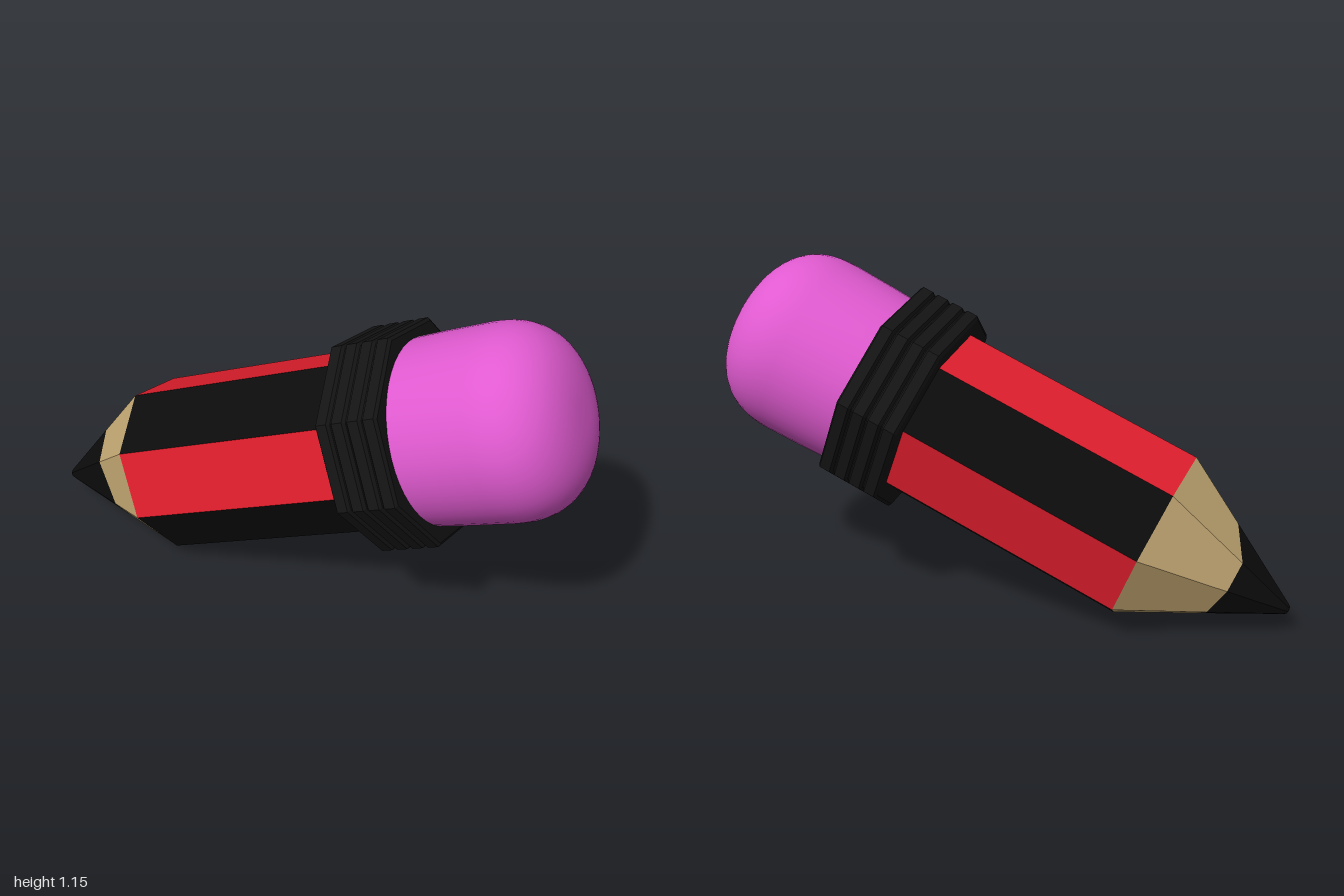
import * as THREE from 'three';

const SIDES = 8;
const R = 0.312;

// One octagon ring around the local y axis; r and t may vary per corner
const ring = (r, t) => Array.from({ length: SIDES }, (_, i) => {
  const a = (i / SIDES) * Math.PI * 2;
  const ri = Array.isArray(r) ? r[i] : r;
  return new THREE.Vector3(ri * Math.sin(a), Array.isArray(t) ? t[i] : t, ri * Math.cos(a));
});

// Flat-faced skin over rings listed from low to high, on the chosen sides
function loft(name, color, rings, useSide = () => true) {
  const points = [];
  for (let k = 0; k < rings.length - 1; k++) {
    for (let i = 0; i < SIDES; i++) {
      if (!useSide(i)) continue;
      const j = (i + 1) % SIDES;
      const [a, b, c, d] = [rings[k][i], rings[k][j], rings[k + 1][j], rings[k + 1][i]];
      points.push(a, b, c, a, c, d);
    }
  }
  const geometry = new THREE.BufferGeometry().setFromPoints(points);
  geometry.computeVertexNormals();
  const mesh = new THREE.Mesh(geometry, new THREE.MeshStandardMaterial({ color, flatShading: true }));
  mesh.name = name;
  return mesh;
}

export function createModel() {
  const group = new THREE.Group();
  group.name = 'pencil';

  // Octagonal body with alternating stripes
  const body = [ring(R, 0), ring(R, 0.9)];
  group.add(loft('redStripes', 0xe01e2d, body, (i) => i % 2 === 1));
  group.add(loft('blackStripes', 0x0b0b0b, body, (i) => i % 2 === 0));

  // Sharpened wood and lead meet along an uneven cut
  const cut = [0.45, 0.4, 0.32, 0.43, 0.48, 0.55, 0.6, 0.6];
  const cutRing = ring(cut.map((f) => THREE.MathUtils.lerp(R, 0.022, f)), cut.map((f) => -0.495 * f));
  group.add(loft('sharpenedWood', 0xc4a873, [cutRing, ring(R, 0)]));
  group.add(loft('leadTip', 0x0b0b0b, [ring(0.0005, -0.507), ring(0.014, -0.505), ring(0.024, -0.49), cutRing]));

  // Ferrule: four raised bands with narrow grooves, closed at both ends
  const bands = 4, start = 0.868, step = 0.058;
  const ferrule = [ring(0.29, start)];
  for (let b = 0; b < bands; b++) {
    const t = start + b * step;
    ferrule.push(ring(0.37, t), ring(0.382, t + 0.008), ring(0.382, t + step - 0.012), ring(0.37, t + step - 0.004));
  }
  ferrule.push(ring(0.28, start + bands * step - 0.004));
  group.add(loft('ferrule', 0x141414, ferrule));

  // Eraser: smooth cylinder with a flattened dome
  const profile = [new THREE.Vector2(0.314, 1.08), new THREE.Vector2(0.32, 1.2)];
  for (let i = 0; i <= 20; i++) {
    const a = (i / 20) * Math.PI / 2;
    profile.push(new THREE.Vector2(
      0.325 * Math.pow(Math.max(Math.cos(a), 0), 0.8),
      1.36 + 0.262 * Math.pow(Math.sin(a), 0.8)));
  }
  profile[profile.length - 1].x = 0;
  const eraser = new THREE.Mesh(
    new THREE.LatheGeometry(profile, 48),
    new THREE.MeshStandardMaterial({ color: 0xe05ad0 }));
  eraser.name = 'eraser';
  group.add(eraser);

  // Lean the pencil: local y runs along the shaft, local z points to the top corner
  const along = new THREE.Vector3(0.913, 0.3945, 0.1004).normalize();
  const up = new THREE.Vector3(-0.125, 0.285, 0.035);
  const side = new THREE.Vector3().crossVectors(along, up).normalize();
  up.crossVectors(side, along);
  group.quaternion.setFromRotationMatrix(new THREE.Matrix4().makeBasis(side, along, up));
  group.position.set(-0.535, 0.285, -0.095);

  const model = new THREE.Group();
  model.name = 'leaningPencil';
  model.add(group);
  return model;
}
